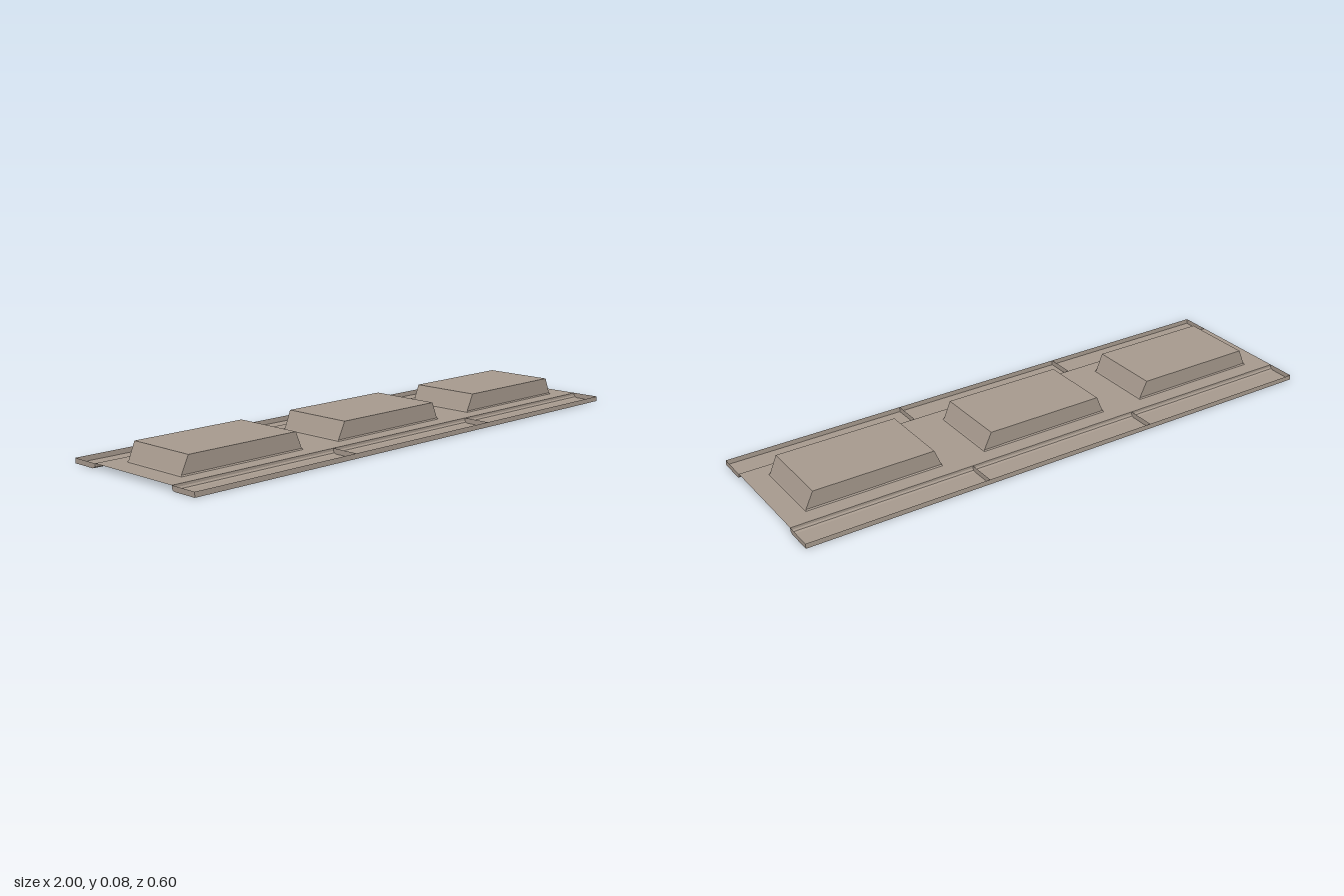
import * as THREE from 'three';

const panelPaint = new THREE.MeshStandardMaterial({ color: 0xa89b8f, side: THREE.DoubleSide });
panelPaint.name = 'taupe panel';
const tubeGrey = new THREE.MeshStandardMaterial({ color: 0xacaeb2 });
tubeGrey.name = 'grey tube';

const SHEET_Y = 0.018;
const BAYS = [-0.667, 0, 0.667];

function part(name, geometry, material = panelPaint) {
  const mesh = new THREE.Mesh(geometry, material);
  mesh.name = name;
  return mesh;
}

// Joins rows of points into a flat-shaded skin
function skin(rows, closed) {
  const pos = [];
  for (let i = 0; i < rows.length - 1; i++) {
    const a = rows[i], b = rows[i + 1], n = a.length;
    for (let j = 0; j < (closed ? n : n - 1); j++) {
      const k = (j + 1) % n;
      pos.push(...a[j], ...a[k], ...b[k], ...a[j], ...b[k], ...b[j]);
    }
  }
  const g = new THREE.BufferGeometry();
  g.setAttribute('position', new THREE.Float32BufferAttribute(pos, 3));
  g.computeVertexNormals();
  return g;
}

// Open trough: a z-y profile swept along x
function trough(profile, x0, x1) {
  return skin([x0, x1].map(x => profile.map(([z, y]) => [x, y, z])), false);
}

// Upright plate closing a z-y profile at one x
function endCap(name, profile, x) {
  const shape = new THREE.Shape(profile.map(([z, y]) => new THREE.Vector2(-z, y)));
  const cap = part(name, new THREE.ShapeGeometry(shape));
  cap.rotation.y = Math.PI / 2;
  cap.position.x = x;
  return cap;
}

// Rectangular ring at height y
function ring(y, hx, hz) {
  return [[-hx, y, hz], [hx, y, hz], [hx, y, -hz], [-hx, y, -hz]];
}

function rectPath(path, x0, x1, z0, z1) {
  path.moveTo(x0, z0);
  path.lineTo(x1, z0);
  path.lineTo(x1, z1);
  path.lineTo(x0, z1);
  path.closePath();
  return path;
}

export function createModel() {
  const model = new THREE.Group();
  model.name = 'ceilingPanel';

  // Thin central sheet with an opening under each housing
  const sheet = rectPath(new THREE.Shape(), -1, 1, -0.193, 0.193);
  for (const x of BAYS) sheet.holes.push(rectPath(new THREE.Path(), x - 0.252, x + 0.252, -0.135, 0.135));
  const sheetGeo = new THREE.ShapeGeometry(sheet);
  sheetGeo.rotateX(-Math.PI / 2);
  sheetGeo.translate(0, SHEET_Y, 0);
  model.add(part('centreSheet', sheetGeo));

  // Open edge channels with end caps and dividers
  const edge = [[0.299, SHEET_Y], [0.299, 0], [0.205, 0], [0.197, 0.003], [0.193, 0.009], [0.193, SHEET_Y]];
  for (const side of [1, -1]) {
    const channel = new THREE.Group();
    channel.name = side > 0 ? 'frontChannel' : 'backChannel';
    const profile = edge.map(([z, y]) => [z * side, y]);
    channel.add(part('channelTrough', trough(profile, -side, side)));
    for (const x of [-1, -1 / 3, 1 / 3, 1]) channel.add(endCap('channelDivider', profile, x));
    model.add(channel);
  }

  // Raised lamp housings, each with a shallow tray holding two tubes
  const tray = [[0.061, SHEET_Y], [0.053, 0.012], [-0.068, 0.012], [-0.076, SHEET_Y]];
  for (const x of BAYS) {
    const bay = new THREE.Group();
    bay.name = 'lampBay';
    bay.position.x = x;

    bay.add(part('housingWalls', skin([
      ring(SHEET_Y, 0.252, 0.136),
      ring(0.022, 0.249, 0.132),
      ring(0.0825, 0.222, 0.134),
    ], true)));
    const roof = part('housingRoof', new THREE.PlaneGeometry(0.444, 0.268));
    roof.rotation.x = -Math.PI / 2;
    roof.position.y = 0.0825;
    bay.add(roof);

    bay.add(part('lampTray', trough(tray, -0.205, 0.205)));
    for (const end of [-0.205, 0.205]) bay.add(endCap('trayEnd', tray, end));

    for (const z of [-0.055, 0.04]) {
      const tube = part('lampTube', new THREE.CylinderGeometry(0.014, 0.014, 0.44, 16), tubeGrey);
      tube.rotation.z = Math.PI / 2;
      tube.position.set(0, 0.034, z);
      bay.add(tube);
    }
    model.add(bay);
  }
  return model;
}
